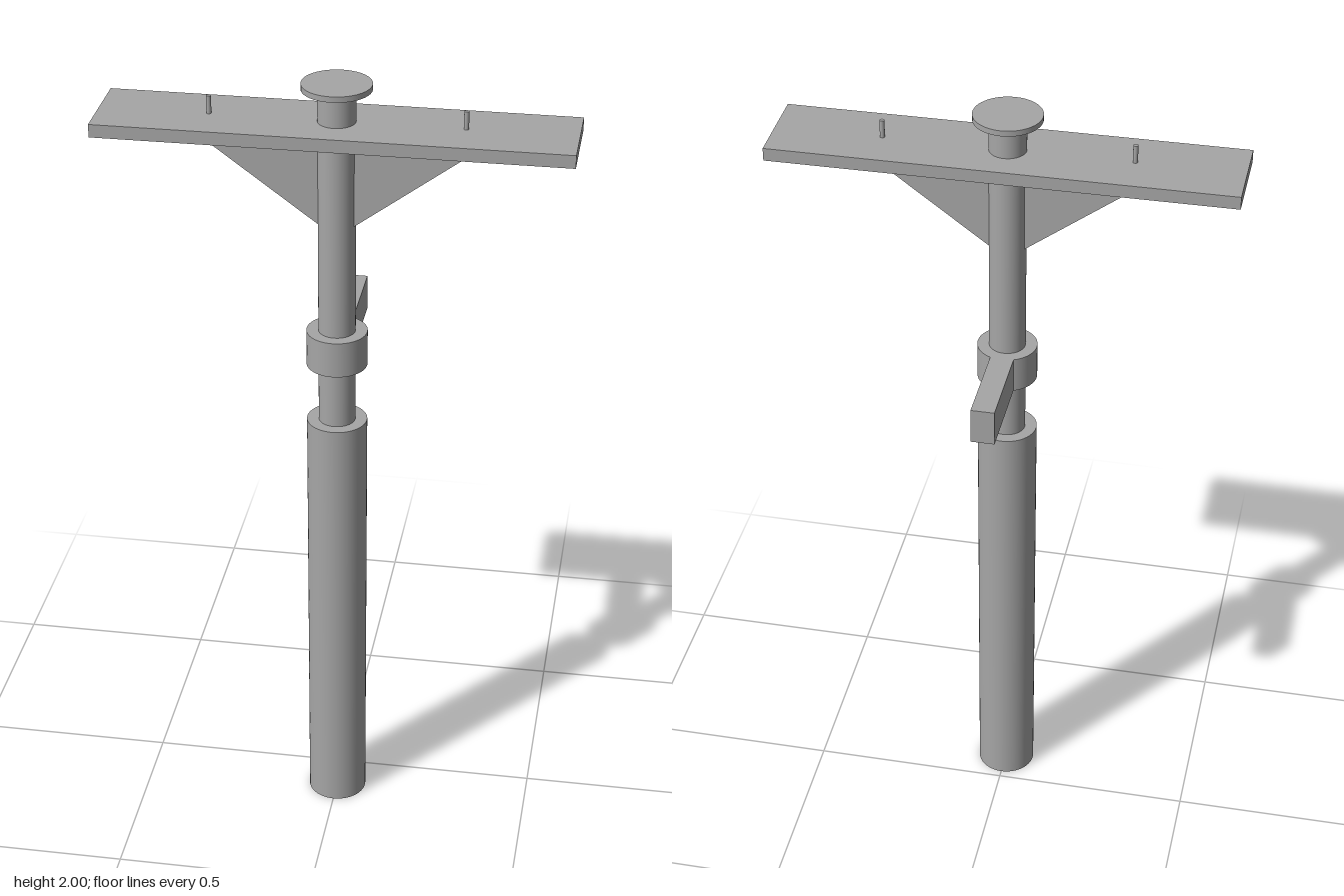
import * as THREE from 'three';

const AXIS_Z = 0.093; // the pole stands forward of the centre

export function createModel() {
  const group = new THREE.Group();
  const grey = new THREE.MeshStandardMaterial({ color: 0xa6a6a6 });
  grey.name = 'grey';

  const add = (name, geometry, x, y, z) => {
    const mesh = new THREE.Mesh(geometry, grey);
    mesh.name = name;
    mesh.position.set(x, y, z);
    group.add(mesh);
  };
  // Upright cylinder between two heights
  const rod = (name, r, y0, y1, x = 0, sides = 48) =>
    add(name, new THREE.CylinderGeometry(r, r, y1 - y0, sides), x, (y0 + y1) / 2, AXIS_Z);

  // Stepped column
  rod('lowerTube', 0.074, 0, 1.122);
  rod('innerPole', 0.045, 1.122, 1.986);
  rod('clampCollar', 0.074, 1.275, 1.366);
  rod('topCap', 0.083, 1.986, 2);

  // Arm reaching back from the collar
  add('rearArm', new THREE.BoxGeometry(0.058, 0.091, 0.255), 0, 1.3205, -0.0775);

  // Crossboard with locating pins
  add('crossboard', new THREE.BoxGeometry(1.12, 0.032, 0.221), 0, 1.891, AXIS_Z);
  for (const side of [-1, 1]) {
    rod(side > 0 ? 'leftPin' : 'rightPin', 0.006, 1.907, 1.951, side * 0.3, 16);
  }

  // Tapered gusset web beneath the board
  const web = new THREE.Shape([
    new THREE.Vector2(-0.04, 1.646),
    new THREE.Vector2(0.04, 1.646),
    new THREE.Vector2(0.35, 1.875),
    new THREE.Vector2(-0.35, 1.875),
  ]);
  const webGeometry = new THREE.ExtrudeGeometry(web, { depth: 0.026, bevelEnabled: false });
  add('gusset', webGeometry, 0, 0, AXIS_Z - 0.013);

  return group;
}
